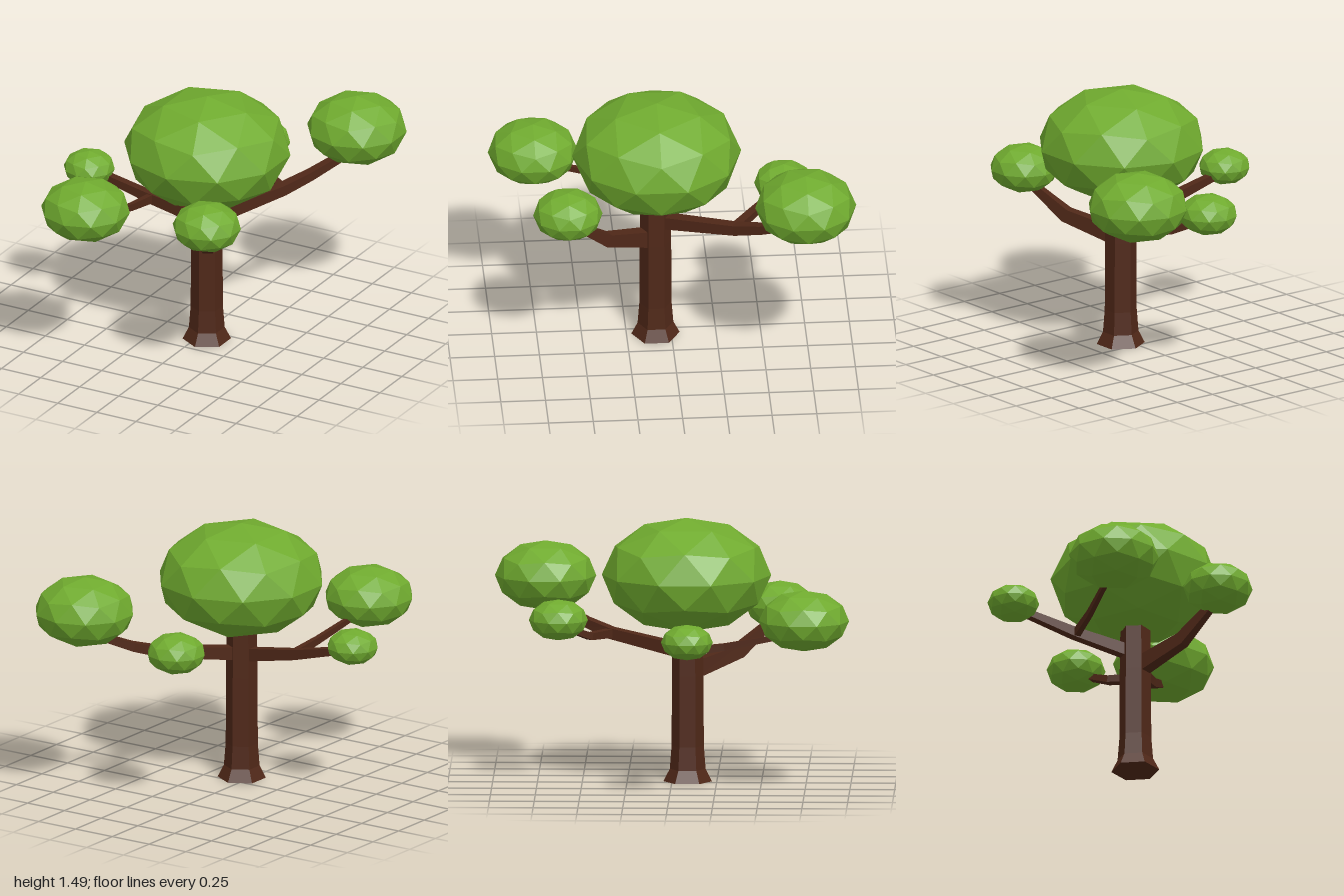
import * as THREE from 'three';

const leafMaterial = new THREE.MeshStandardMaterial({ color: 0x70ab2f, flatShading: true });
const barkMaterial = new THREE.MeshStandardMaterial({ color: 0x502818, flatShading: true });

// Faceted ball with a vertex at its pole, one upper ring corner facing +x
function foliageGeometry() {
  const g = new THREE.IcosahedronGeometry(1, 1);
  g.rotateX(-Math.atan((1 + Math.sqrt(5)) / 2));
  g.rotateY(Math.PI / 2);
  return g;
}

// Four-sided tapering limb; each station is [x, y, z, width, height]
function limbGeometry(stations) {
  const points = stations.map(([x, y, z]) => new THREE.Vector3(x, y, z));
  const last = points.length - 1;
  const positions = [];
  const index = [];
  points.forEach((p, i) => {
    const along = points[Math.min(i + 1, last)].clone().sub(points[Math.max(i - 1, 0)]).normalize();
    const side = along.clone().cross(new THREE.Vector3(0, 1, 0)).normalize();
    const up = side.clone().cross(along);
    const [, , , w, h] = stations[i];
    for (const [a, b] of [[-1, -1], [1, -1], [1, 1], [-1, 1]]) {
      const corner = p.clone().addScaledVector(side, a * w / 2).addScaledVector(up, b * h / 2);
      positions.push(corner.x, corner.y, corner.z);
    }
  });
  for (let i = 0; i < last; i++) {
    for (let k = 0; k < 4; k++) {
      const a = i * 4 + k, b = i * 4 + (k + 1) % 4;
      index.push(a, b + 4, b, a, a + 4, b + 4);
    }
  }
  // end caps
  const e = last * 4;
  index.push(0, 1, 2, 0, 2, 3, e, e + 2, e + 1, e, e + 3, e + 2);
  const indexed = new THREE.BufferGeometry();
  indexed.setAttribute('position', new THREE.Float32BufferAttribute(positions, 3));
  indexed.setIndex(index);
  const g = indexed.toNonIndexed();
  g.computeVertexNormals();
  return g;
}

export function createModel() {
  const tree = new THREE.Group();
  tree.name = 'tree';
  const add = (name, geometry, material) => {
    const mesh = new THREE.Mesh(geometry, material);
    mesh.name = name;
    tree.add(mesh);
    return mesh;
  };

  // Hexagonal trunk with a flared foot
  const profile = [[0, 0], [0.135, 0], [0.1, 0.07], [0.09, 0.2], [0.088, 0.6], [0.083, 0.95], [0, 0.95]];
  const trunk = add('trunk',
    new THREE.LatheGeometry(profile.map(([r, y]) => new THREE.Vector2(r, y)), 6), barkMaterial);
  trunk.position.set(0.051, 0, 0.0875);

  // Branches and twigs
  const limbs = {
    rightBranch: [[0.05, 0.72, 0.08, 0.055, 0.075], [-0.32, 0.785, 0.08, 0.05, 0.058], [-0.66, 0.865, 0.085, 0.045, 0.035]],
    frontRightTwig: [[-0.305, 0.78, 0.08, 0.035, 0.05], [-0.315, 0.81, 0.3, 0.028, 0.04], [-0.34, 0.87, 0.6, 0.025, 0.03]],
    frontLeftBranch: [[0.05, 0.62, 0.09, 0.075, 0.1], [0.215, 0.713, 0.37, 0.06, 0.075], [0.325, 0.875, 0.56, 0.04, 0.04]],
    backLeftBranch: [[0.05, 0.73, 0.08, 0.07, 0.075], [0.295, 0.8, -0.345, 0.06, 0.06], [0.39, 0.85, -0.49, 0.055, 0.05], [0.5, 0.925, -0.64, 0.05, 0.04]],
    backTwig: [[0.3, 0.8, -0.335, 0.05, 0.05], [0.12, 0.805, -0.46, 0.048, 0.04], [0.01, 0.87, -0.6, 0.04, 0.03]],
  };
  for (const [name, stations] of Object.entries(limbs)) add(name, limbGeometry(stations), barkMaterial);

  // Foliage: centre, radius and half height
  const foliage = {
    crownFoliage: [0.051, 1.164, 0.081, 0.473, 0.321],
    backLeftFoliage: [0.56, 1.085, -0.718, 0.283, 0.196],
    backFoliage: [-0.005, 0.915, -0.633, 0.165, 0.115],
    rightFoliage: [-0.693, 0.89, 0.101, 0.145, 0.1],
    frontRightFoliage: [-0.355, 0.965, 0.746, 0.252, 0.171],
    frontLeftFoliage: [0.337, 0.955, 0.597, 0.194, 0.136],
  };
  const ball = foliageGeometry();
  for (const [name, [x, y, z, r, h]] of Object.entries(foliage)) {
    const clump = add(name, ball, leafMaterial);
    clump.position.set(x, y, z);
    clump.scale.set(r, h, r);
  }
  return tree;
}
